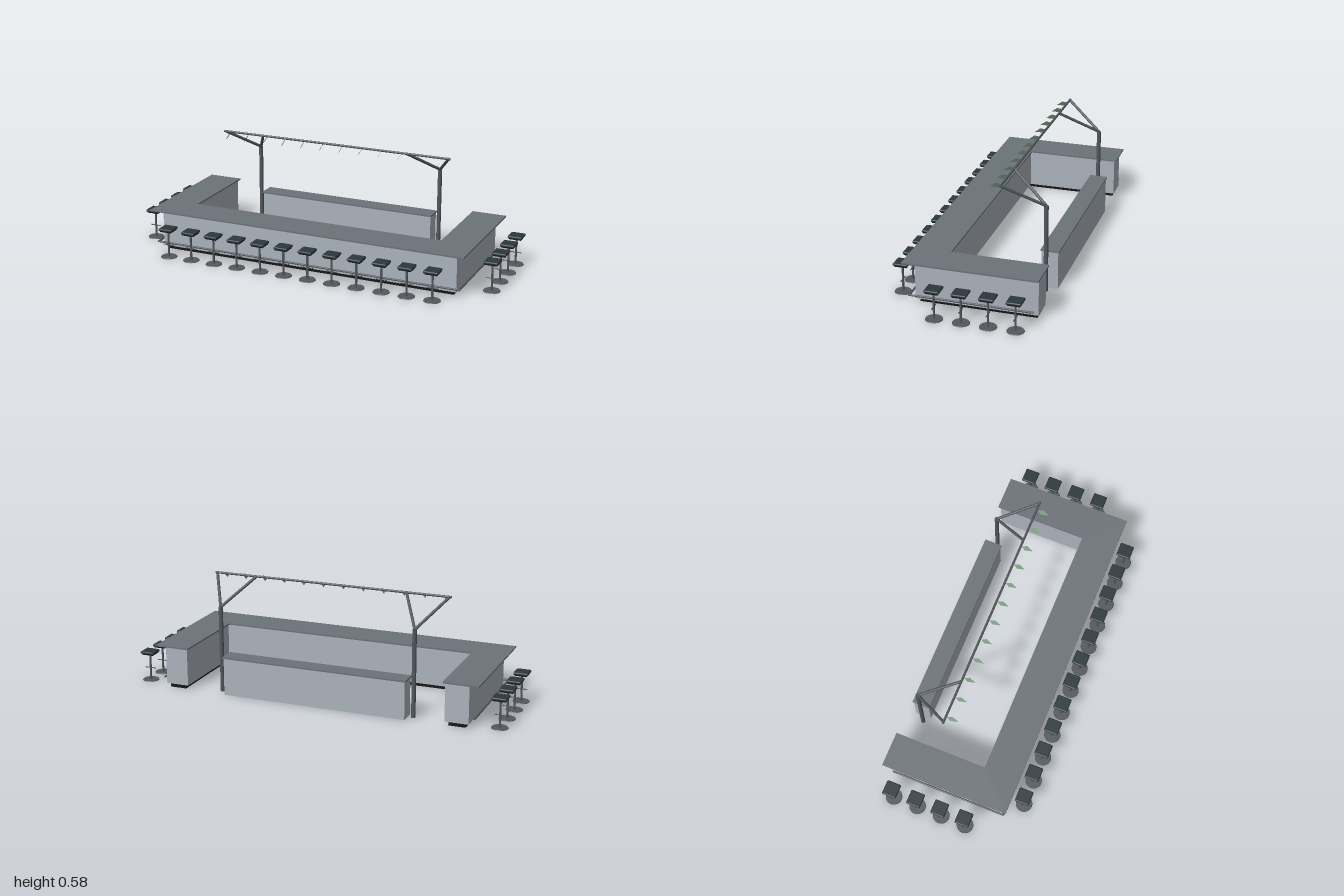
import * as THREE from 'three';
import { RoundedBoxGeometry } from 'three/addons/geometries/RoundedBoxGeometry.js';

const material = (name, color, side = THREE.FrontSide) => {
  const m = new THREE.MeshStandardMaterial({ color, side });
  m.name = name;
  return m;
};

export function createModel() {
  const panel = material('pale grey panel', 0xabb2bb);
  const top = material('slate worktop', 0x6c7379);
  const metal = material('dark metal', 0x53585e);
  const black = material('black plinth', 0x141516);
  const leather = material('dark teal seat', 0x2c383e);
  const green = material('green leaf', 0x7f9f85, THREE.DoubleSide);

  const model = new THREE.Group();
  model.name = 'uShapedBar';

  const add = (name, geometry, mat, parent = model, x = 0, y = 0, z = 0) => {
    const mesh = new THREE.Mesh(geometry, mat);
    mesh.name = name;
    mesh.position.set(x, y, z);
    parent.add(mesh);
    return mesh;
  };

  // Round bar between two points
  const bar = (name, a, b, radius, parent = model, sides = 12) => {
    const from = new THREE.Vector3(...a), to = new THREE.Vector3(...b);
    const dir = to.clone().sub(from);
    const mesh = add(name, new THREE.CylinderGeometry(radius, radius, dir.length(), sides), metal, parent);
    mesh.position.copy(from).add(to).multiplyScalar(0.5);
    mesh.quaternion.setFromUnitVectors(new THREE.Vector3(0, 1, 0), dir.normalize());
    return mesh;
  };

  // U-shaped slab, open towards the back
  const uSlab = (name, mat, outerX, innerX, frontZ, innerZ, backZ, y0, y1) => {
    const points = [
      [-outerX, backZ], [-outerX, frontZ], [outerX, frontZ], [outerX, backZ],
      [innerX, backZ], [innerX, innerZ], [-innerX, innerZ], [-innerX, backZ],
    ].map(([x, z]) => new THREE.Vector2(x, -z));
    const geometry = new THREE.ExtrudeGeometry(new THREE.Shape(points), { depth: y1 - y0, bevelEnabled: false });
    geometry.rotateX(-Math.PI / 2);
    return add(name, geometry, mat, model, 0, y0, 0);
  };

  // Main counter
  uSlab('counterPlinth', black, 0.803, 0.715, 0.226, 0.13, -0.362, 0, 0.021);
  uSlab('counterBody', panel, 0.82, 0.698, 0.243, 0.113, -0.372, 0.021, 0.219);
  uSlab('counterTop', top, 0.87, 0.688, 0.293, 0.105, -0.384, 0.219, 0.227);

  // Foot rail around the three outer sides
  const railY = 0.046, railX = 0.843, railZ = 0.267;
  bar('footRailFront', [-railX, railY, railZ], [railX, railY, railZ], 0.005);
  for (const s of [-1, 1]) {
    bar('footRailSide', [s * railX, railY, railZ], [s * railX, railY, -0.352], 0.005);
    add('footRailCorner', new THREE.SphereGeometry(0.005, 12, 8), metal, model, s * railX, railY, railZ);
  }

  // Back counter
  add('backCounterBody', new THREE.BoxGeometry(0.98, 0.196, 0.084), panel, model, -0.003, 0.098, -0.332);
  add('backCounterTop', new THREE.BoxGeometry(0.99, 0.008, 0.094), top, model, -0.003, 0.2, -0.332);

  // Forked frame carrying the overhead rail
  const barY = 0.577, barZ = -0.127;
  for (const s of [-1, 1]) {
    const post = [s * 0.522, 0.453, -0.322];
    bar('framePost', [post[0], 0, post[2]], post, 0.011, model, 16);
    for (const d of [-1, 1]) {
      bar('frameBrace', post, [post[0] + d * 0.112, barY, barZ], 0.0075);
    }
  }
  bar('overheadRail', [-0.643, barY, barZ], [0.643, barY, barZ], 0.006);

  // Hanging leaves: slanted four-cornered plates
  const outline = [[-0.062, 0.552], [-0.095, 0.578], [-0.122, 0.571], [-0.104, 0.55]];
  const leafPoints = outline.flatMap(([z, y]) => [0.5 * (y - 0.563) + 0.2 * (z + 0.095), y, z]);
  const leaf = new THREE.BufferGeometry();
  leaf.setAttribute('position', new THREE.Float32BufferAttribute(leafPoints, 3));
  leaf.setIndex([0, 2, 1, 0, 3, 2]);
  leaf.computeVertexNormals();
  for (let i = 0; i < 12; i++) add('leaf', leaf, green, model, -0.602 + i * 0.109);

  // Bar stools
  const seat = new RoundedBoxGeometry(0.076, 0.014, 0.076, 3, 0.006);
  const seatPlate = new THREE.BoxGeometry(0.064, 0.006, 0.064);
  const stem = new THREE.CylinderGeometry(0.0055, 0.0055, 0.146, 12);
  const foot = new THREE.CylinderGeometry(0.041, 0.0432, 0.004, 28);
  const stool = (x, z) => {
    const g = new THREE.Group();
    g.name = 'stool';
    g.position.set(x, 0, z);
    add('seat', seat, leather, g, 0, 0.156, 0);
    add('seatPlate', seatPlate, black, g, 0, 0.147, 0);
    add('stem', stem, metal, g, 0, 0.075, 0);
    add('foot', foot, metal, g, 0, 0.002, 0);
    bar('footPeg', [-0.03, 0.067, 0], [0.03, 0.067, 0], 0.003, g, 8);
    model.add(g);
  };
  for (let i = 0; i < 12; i++) stool(-0.737 + i * 0.1335, 0.341);
  for (let i = 0; i < 4; i++) {
    for (const s of [-1, 1]) stool(s * 0.956, 0.1 - i * 0.1335);
  }
  return model;
}
